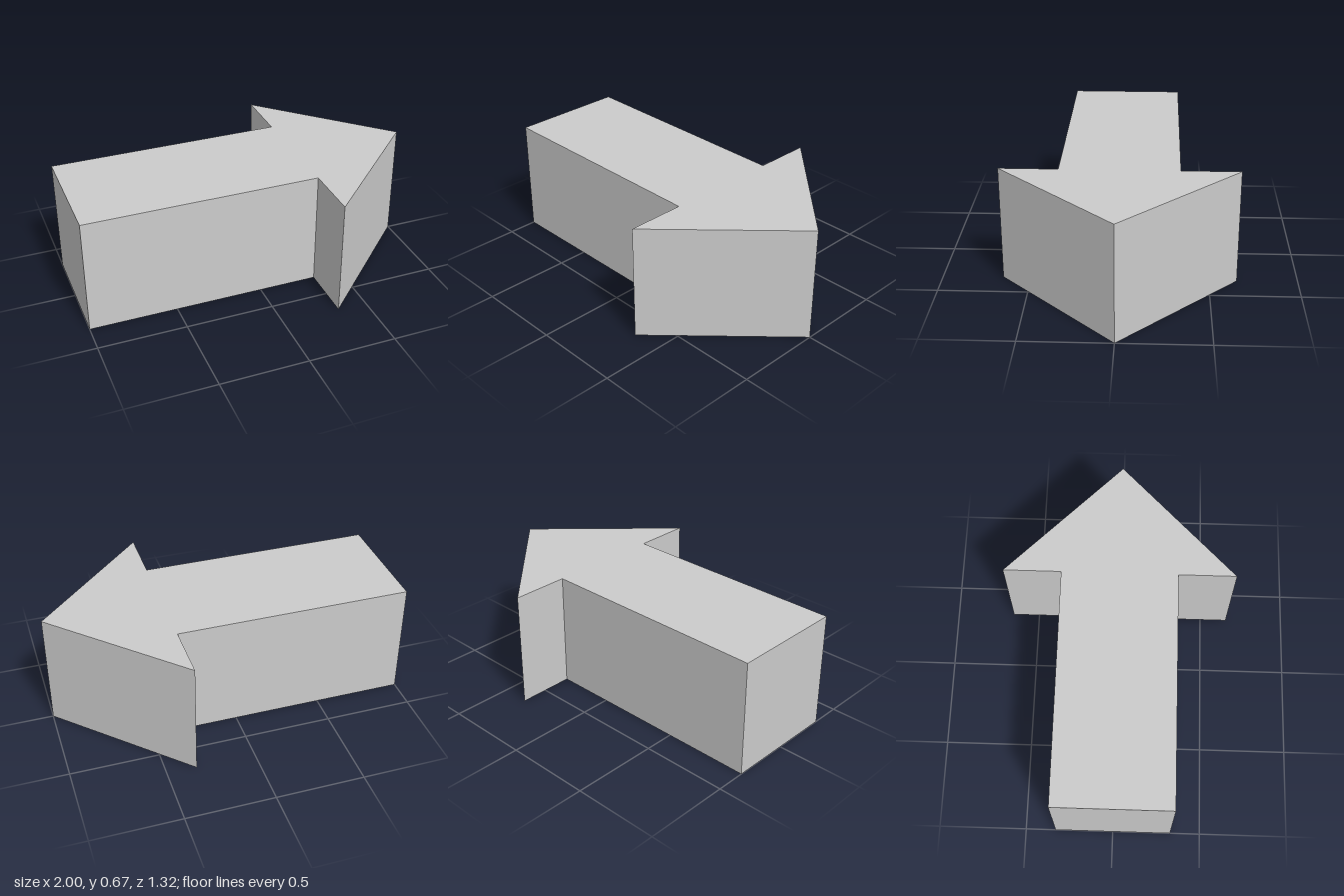
import * as THREE from 'three';

const HEIGHT = 0.667;
const NECK = 0.333; // x where the shaft meets the head
const SHAFT = 0.33; // half width of the shaft
const HEAD = 0.658; // half width of the head

export function createModel() {
  const group = new THREE.Group();
  group.name = 'arrow';

  // One half of the outline from tail to barb, then its mirror image
  const half = [[-1, SHAFT], [NECK, SHAFT], [NECK, HEAD]];
  const mirrored = half.map(([x, y]) => [x, -y]).reverse();
  const outline = [...half, [1, 0], ...mirrored].map(([x, y]) => new THREE.Vector2(x, y));

  // Solid block arrow lying flat, pointing to +x
  const geometry = new THREE.ExtrudeGeometry(new THREE.Shape(outline), {
    depth: HEIGHT,
    bevelEnabled: false,
  });
  geometry.rotateX(-Math.PI / 2);

  const material = new THREE.MeshStandardMaterial({ color: 0xcccccc, flatShading: true });
  const arrow = new THREE.Mesh(geometry, material);
  arrow.name = 'arrowBody';
  group.add(arrow);
  return group;
}
